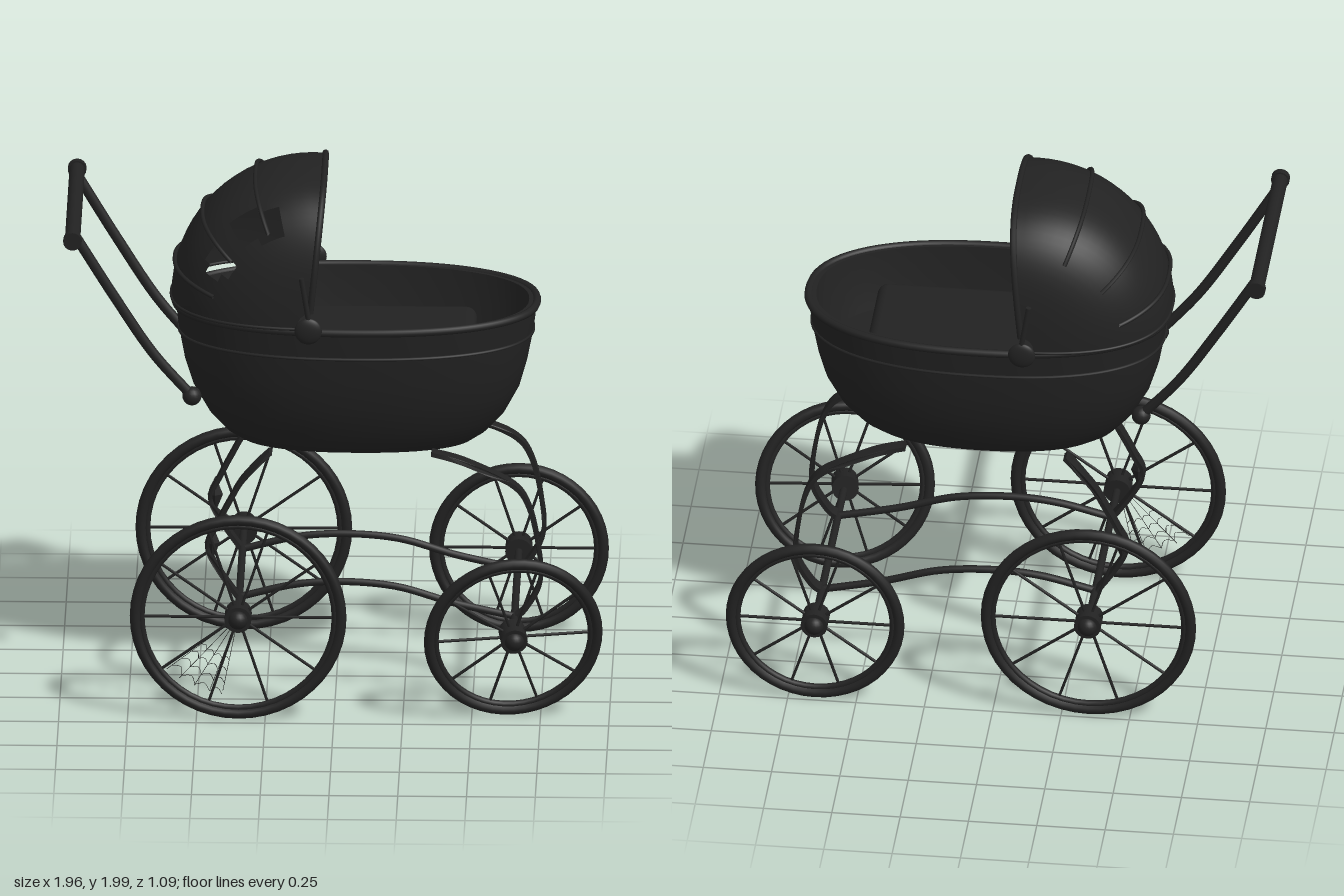
import * as THREE from 'three';
import { toCreasedNormals } from 'three/addons/utils/BufferGeometryUtils.js';
import { RoundedBoxGeometry } from 'three/addons/geometries/RoundedBoxGeometry.js';

const charcoal = new THREE.MeshStandardMaterial({ color: 0x222222, side: THREE.DoubleSide });
charcoal.name = 'charcoal';

const V = (x, y, z) => new THREE.Vector3(x, y, z);
const spow = (v, p) => Math.sign(v) * Math.abs(v) ** p;
const rad = THREE.MathUtils.degToRad;

function add(parent, name, geo, x = 0, y = 0, z = 0) {
  const m = new THREE.Mesh(geo, charcoal);
  m.name = name;
  m.position.set(x, y, z);
  parent.add(m);
  return m;
}

// Surface over a grid of points, with optional missing cells
function grid(rows, cols, fn, skip = () => false) {
  const pos = [], idx = [];
  for (let i = 0; i <= rows; i++) for (let j = 0; j <= cols; j++) pos.push(...fn(i, j));
  for (let i = 0; i < rows; i++) for (let j = 0; j < cols; j++) {
    if (skip(i, j)) continue;
    const a = i * (cols + 1) + j, b = a + cols + 1;
    idx.push(a, b, a + 1, b, b + 1, a + 1);
  }
  const g = new THREE.BufferGeometry();
  g.setAttribute('position', new THREE.Float32BufferAttribute(pos, 3));
  g.setIndex(idx);
  return toCreasedNormals(g, 0.6);
}

function tube(points, r, closed = false, seg = 32, sides = 8) {
  return new THREE.TubeGeometry(new THREE.CatmullRomCurve3(points, closed), seg, r, sides, closed);
}

// Straight round bar between two points
function bar(parent, name, a, b, r, sides = 10) {
  const m = add(parent, name, new THREE.CylinderGeometry(r, r, a.distanceTo(b), sides));
  m.position.copy(a).lerp(b, 0.5);
  m.quaternion.setFromUnitVectors(V(0, 1, 0), b.clone().sub(a).normalize());
  return m;
}

// Oval plan of the tub
function oval(u, y, x0, x1, hz) {
  const p = 2 / 2.3;
  return [(x0 + x1) / 2 + (x1 - x0) / 2 * spow(Math.cos(u), p), y, hz * spow(Math.sin(u), p)];
}
function ovalPoints(...o) {
  return Array.from({ length: 64 }, (_, k) => V(...oval(k / 64 * Math.PI * 2, ...o)));
}

function buildTub(parent) {
  // y, rear x, front x, half width: up the outside, down the inside
  const rings = [
    [0.945, 0.075, 0.075, 0], [0.945, -0.35, 0.5, 0.207], [0.98, -0.405, 0.55, 0.243], [1.05, -0.467, 0.614, 0.283],
    [1.15, -0.522, 0.667, 0.32], [1.25, -0.553, 0.695, 0.341], [1.36, -0.573, 0.716, 0.354], [1.47, -0.587, 0.73, 0.364],
    [1.47, -0.56, 0.7, 0.34], [1.36, -0.54, 0.685, 0.33], [1.25, -0.51, 0.65, 0.31], [1.25, 0.075, 0.075, 0],
  ];
  add(parent, 'tub', grid(rings.length - 1, 64, (i, j) => oval(j / 64 * Math.PI * 2, ...rings[i])));
  add(parent, 'rim', tube(ovalPoints(1.465, -0.586, 0.728, 0.364), 0.015, true, 96));
  add(parent, 'trimBand', tube(ovalPoints(1.36, -0.574, 0.716, 0.355), 0.006, true, 96, 6));
  add(parent, 'mattress', new RoundedBoxGeometry(0.86, 0.11, 0.54, 3, 0.04), 0.075, 1.295, 0);
  add(parent, 'pillow', new RoundedBoxGeometry(0.24, 0.1, 0.4, 4, 0.048), -0.3, 1.385, 0);
}

// Hood: bows fanned about a pivot on the rim
const pivot = V(-0.095, 1.481, 0);
function hoodPoint(deg, tDeg, s = 1) {
  const f = (deg - 84) / 96, p = 2 / (3 - 0.6 * f), t = rad(tDeg), a = rad(deg);
  const r = 0.506 * s * spow(Math.cos(t), p);
  return V(pivot.x + r * Math.cos(a), pivot.y + r * Math.sin(a), 0.37 * s * spow(Math.sin(t), p));
}
function bowPoints(deg, reach, s) {
  return Array.from({ length: 33 }, (_, k) => hoodPoint(deg, (k / 16 - 1) * reach, s));
}

function buildHood(parent) {
  // Torn openings on one side: row and column ranges
  const holes = [[4, 6, 25, 28], [6, 8, 24, 27], [11, 12, 25, 28], [13, 13, 26, 27]];
  add(parent, 'hood', grid(19, 36,
    (i, j) => hoodPoint(84 + i * 96 / 19, (j / 18 - 1) * 87.5).toArray(),
    (i, j) => holes.some(([a, b, c, d]) => i >= a && i <= b && j >= c && j <= d)));
  add(parent, 'hoodFrontBow', tube(bowPoints(84, 87.5, 1), 0.012, false, 64));
  add(parent, 'hoodBackBow', tube(bowPoints(179, 87.5, 1), 0.006, false, 64));
  for (const deg of [113, 140, 164]) add(parent, 'hoodRib', tube(bowPoints(deg, 50, 1.014), 0.008, false, 48));
  for (const s of [-1, 1]) {
    add(parent, 'hoodPivot', new THREE.SphereGeometry(1, 24, 16), pivot.x, 1.483, s * 0.392).scale.set(0.05, 0.05, 0.018);
    bar(parent, 'hoodStay', V(-0.09, 1.5, s * 0.39), V(-0.12, 1.685, s * 0.386), 0.01);
  }
}

function buildHandle(parent) {
  bar(parent, 'handleGrip', V(-0.952, 1.822, -0.385), V(-0.952, 1.822, 0.385), 0.028, 16);
  for (const s of [-1, 1]) {
    bar(parent, 'gripEnd', V(-0.952, 1.822, s * 0.365), V(-0.952, 1.822, s * 0.39), 0.034, 16);
    add(parent, 'handleArm', tube([V(-0.947, 1.82, s * 0.305), V(-0.8, 1.575, s * 0.299),
      V(-0.66, 1.357, s * 0.293), V(-0.52, 1.19, s * 0.285)], 0.019));
    add(parent, 'handleKnob', new THREE.SphereGeometry(0.035, 16, 12), -0.52, 1.19, s * 0.285);
  }
}

// Flat metal strip following a side-on curve, drawn inward at the top and waisted midway
function strip(pts, half, depth, side) {
  const curve = new THREE.SplineCurve(pts.map(([x, y]) => new THREE.Vector2(x, y)));
  const left = [], right = [];
  for (let k = 0; k <= 40; k++) {
    const p = curve.getPoint(k / 40), t = curve.getTangent(k / 40);
    left.push(new THREE.Vector2(p.x - t.y * half, p.y + t.x * half));
    right.unshift(new THREE.Vector2(p.x + t.y * half, p.y - t.x * half));
  }
  const g = new THREE.ExtrudeGeometry(new THREE.Shape([...left, ...right]), { depth, bevelEnabled: false });
  g.translate(0, 0, -depth / 2);
  const pos = g.attributes.position;
  for (let i = 0; i < pos.count; i++) {
    const y = pos.getY(i);
    const waist = 1 - 0.4 * Math.exp(-(((y - 0.6) / 0.03) ** 2));
    pos.setZ(i, pos.getZ(i) * waist - side * 0.03 * THREE.MathUtils.smoothstep(y, 0.87, 0.955));
  }
  return toCreasedNormals(g, 0.6);
}

function buildChassis(parent) {
  const front = [[0.35, 0.955], [0.48, 0.92], [0.64, 0.85], [0.705, 0.76], [0.74, 0.6], [0.745, 0.47], [0.69, 0.365], [0.65, 0.335]];
  const rear = [[-0.235, 0.955], [-0.33, 0.865], [-0.385, 0.77], [-0.43, 0.68], [-0.465, 0.6], [-0.425, 0.51], [-0.35, 0.4]];
  for (const s of [-1, 1]) {
    add(parent, 'frontSpring', strip(front, 0.008, 0.05, s), 0, 0, s * 0.253);
    add(parent, 'rearSpring', strip(rear, 0.008, 0.05, s), 0, 0, s * 0.253);
    add(parent, 'springClasp', new THREE.OctahedronGeometry(1), -0.447, 0.61, s * 0.253).scale.set(0.028, 0.07, 0.018);
    add(parent, 'sideBar', tube([V(-0.35, 0.4, s * 0.25), V(-0.15, 0.449, s * 0.25), V(0.01, 0.462, s * 0.25),
      V(0.22, 0.445, s * 0.25), V(0.43, 0.383, s * 0.25), V(0.65, 0.333, s * 0.25)], 0.014));
  }
  bar(parent, 'rearAxle', V(-0.348, 0.402, -0.47), V(-0.348, 0.402, 0.47), 0.014);
  bar(parent, 'frontAxle', V(0.652, 0.333, -0.47), V(0.652, 0.333, 0.47), 0.014);
}

function buildWheel(parent, name, R, x, y, side) {
  const w = new THREE.Group();
  w.name = name;
  w.position.set(x, y, side * 0.466);
  parent.add(w);
  add(w, 'tyre', new THREE.TorusGeometry(R - 0.02, 0.02, 12, 48));
  add(w, 'wheelRim', new THREE.TorusGeometry(R - 0.042, 0.012, 8, 48));
  // Hub barrel with a domed cap
  bar(w, 'hub', V(0, 0, side * -0.045), V(0, 0, side * 0.038), 0.049, 20);
  add(w, 'hubCap', new THREE.SphereGeometry(0.036, 20, 12), 0, 0, side * 0.031);
  for (let k = 0; k < 10; k++) {
    const a = k * Math.PI / 5, c = Math.cos(a), s = Math.sin(a);
    bar(w, 'spoke', V(c * 0.03, s * 0.03, 0), V(c * (R - 0.04), s * (R - 0.04), 0), 0.0055, 6);
  }
  return w;
}

// Cobweb slung between two spokes
function buildWeb(wheel) {
  const at = (deg, r) => V(Math.cos(rad(deg)) * r, Math.sin(rad(deg)) * r, 0.004);
  const rays = [218, 228, 239, 250, 259];
  rays.forEach((deg, k) => {
    bar(wheel, 'webThread', at(deg, 0.05), at(deg, 0.33 - 0.01 * k), 0.001, 4);
    if (k === 0) return;
    for (let r = 0.17; r < 0.32; r += 0.045) {
      const mid = at((deg + rays[k - 1]) / 2, r * 0.93);
      add(wheel, 'webRung', tube([at(rays[k - 1], r), mid, at(deg, r)], 0.001, false, 6, 4));
    }
  });
}

export function createModel() {
  const root = new THREE.Group();
  root.name = 'babyCarriage';
  const pram = new THREE.Group();
  pram.name = 'carriage';
  pram.position.z = -0.009;
  root.add(pram);
  buildTub(pram);
  buildHood(pram);
  buildHandle(pram);
  buildChassis(pram);
  buildWheel(pram, 'rearRightWheel', 0.394, -0.348, 0.402, -1);
  buildWeb(buildWheel(pram, 'rearLeftWheel', 0.394, -0.348, 0.402, 1));
  buildWheel(pram, 'frontRightWheel', 0.327, 0.652, 0.333, -1);
  // Loose, leaning wheel
  buildWheel(pram, 'frontLeftWheel', 0.327, 0.652, 0.333, 1).rotation.set(0.19, 0.14, 0);
  return root;
}
